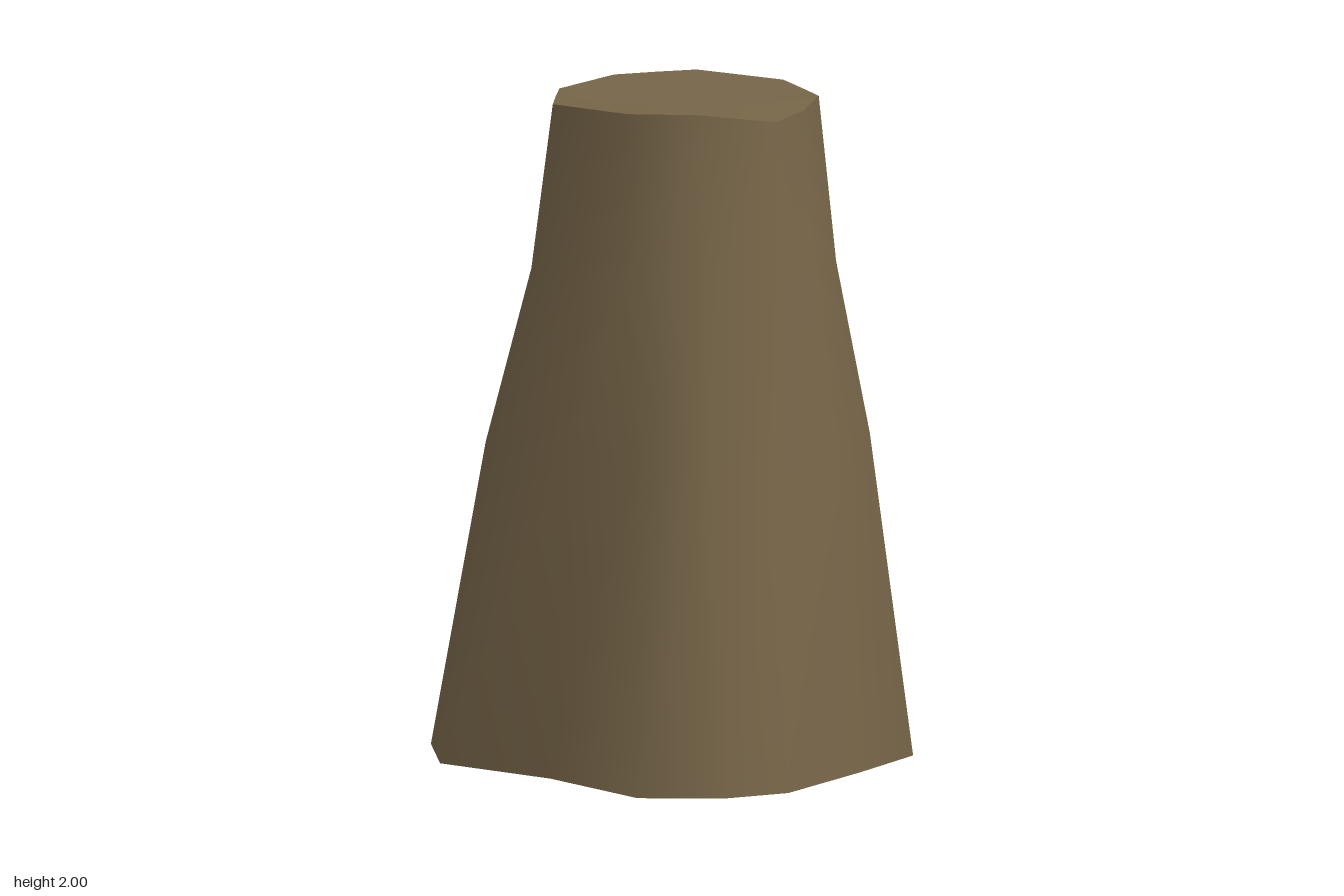
import * as THREE from 'three';

// Rings of [x, z], going round from +x towards +z
const base = [[0.65, 0.01], [0.55, 0.38], [0.335, 0.625], [0.05, 0.655], [-0.31, 0.675], [-0.49, 0.578], [-0.65, 0.375],
  [-0.6, 0], [-0.64, -0.39], [-0.445, -0.585], [-0.14, -0.53], [0.15, -0.675], [0.37, -0.49], [0.44, -0.245]];
const middle = [[0.54, 0.04], [0.435, 0.305], [0.285, 0.5], [0.05, 0.575], [-0.2, 0.575], [-0.39, 0.45], [-0.515, 0.245],
  [-0.49, -0.015], [-0.53, -0.305], [-0.345, -0.425], [-0.15, -0.43], [0.1, -0.53], [0.305, -0.435], [0.38, -0.18]];
const upper = [[0.44, 0.055], [0.36, 0.265], [0.225, 0.42], [0.06, 0.465], [-0.09, 0.49], [-0.335, 0.388], [-0.44, 0.16],
  [-0.4, -0.04], [-0.42, -0.22], [-0.3, -0.275], [-0.15, -0.335], [0.06, -0.43], [0.23, -0.36], [0.32, -0.11]];
const top = [[0.38, 0.09], [0.31, 0.215], [0.235, 0.345], [0.09, 0.405], [-0.09, 0.447], [-0.275, 0.305], [-0.38, 0.115],
  [-0.378, -0.03], [-0.375, -0.175], [-0.275, -0.247], [-0.155, -0.33], [0.125, -0.35], [0.22, -0.267], [0.31, -0.185]];
const topY = [1.97, 1.975, 1.98, 1.967, 1.967, 2, 1.995, 1.99, 1.985, 1.98, 1.975, 1.968, 1.972, 1.975];

function makeGeometry(points, index) {
  const g = new THREE.BufferGeometry();
  g.setAttribute('position', new THREE.Float32BufferAttribute(points.flat(), 3));
  g.setIndex(index);
  g.computeVertexNormals();
  return g;
}

export function createModel() {
  const group = new THREE.Group();
  group.name = 'stump';
  const bark = new THREE.MeshStandardMaterial({ color: 0x766548, side: THREE.DoubleSide });
  bark.name = 'brown bark';

  const n = base.length;
  const topRing = top.map(([x, z], i) => [x, topY[i], z]);
  const points = [
    ...base.map(([x, z]) => [x, 0, z]),
    ...middle.map(([x, z]) => [x, 0.97, z]),
    ...upper.map(([x, z]) => [x, 1.49, z]),
    ...topRing,
  ];

  // Smooth fluted wall, open underneath
  const wall = [];
  for (let r = 0; r < 3; r++) {
    for (let i = 0; i < n; i++) {
      const a = r * n + i, b = r * n + (i + 1) % n;
      wall.push(a, a + n, b, b, a + n, b + n);
    }
  }
  const trunk = new THREE.Mesh(makeGeometry(points, wall), bark);
  trunk.name = 'trunkWall';

  // Cut face on top
  const fan = [];
  for (let i = 0; i < n; i++) fan.push(n, (i + 1) % n, i);
  const cap = new THREE.Mesh(makeGeometry([...topRing, [0, 1.98, 0]], fan), bark);
  cap.name = 'topCut';

  group.add(trunk, cap);
  return group;
}
